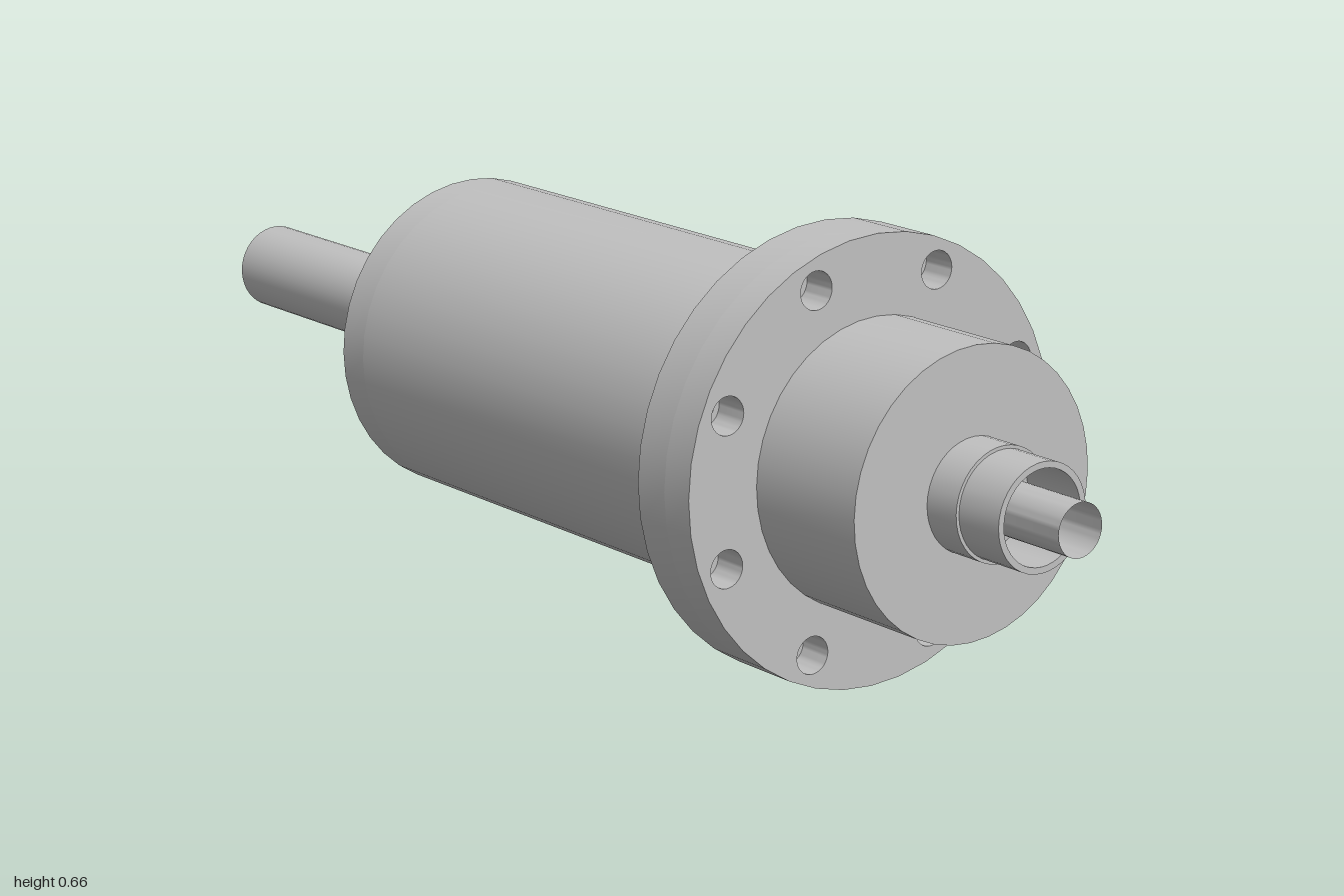
import * as THREE from 'three';
import { toCreasedNormals } from 'three/addons/utils/BufferGeometryUtils.js';

const AXIS_Y = 0.33;
const steel = new THREE.MeshStandardMaterial({ color: 0xc0c0c0, side: THREE.DoubleSide });
steel.name = 'steel grey';

export function createModel() {
  const model = new THREE.Group();
  model.name = 'spindle';
  const spindle = new THREE.Group();
  spindle.name = 'spindleAssembly';
  spindle.position.y = AXIS_Y;
  model.add(spindle);

  const add = (name, geometry, y = 0, z = 0) => {
    const mesh = new THREE.Mesh(toCreasedNormals(geometry, 0.6), steel);
    mesh.name = name;
    mesh.position.set(0, y, z);
    spindle.add(mesh);
  };

  // Disc along x from x0 to x1, pierced by holes given as [y, z, radius]
  const disc = (name, x0, x1, radius, holes) => {
    const shape = new THREE.Shape().absarc(0, 0, radius, 0, Math.PI * 2);
    for (const [y, z, r] of holes) {
      shape.holes.push(new THREE.Path().absarc(-z, y, r, 0, Math.PI * 2, true));
    }
    const g = new THREE.ExtrudeGeometry(shape, { depth: x1 - x0, bevelEnabled: false, curveSegments: 20 });
    add(name, g.rotateY(Math.PI / 2).translate(x0, 0, 0));
  };

  // Solid or hollow turned part along x; profile points are [radius, x]
  const turned = (name, profile, y = 0, z = 0) => {
    const points = profile.map(([r, x]) => new THREE.Vector2(r, x));
    add(name, new THREE.LatheGeometry(points, 40).rotateZ(-Math.PI / 2), y, z);
  };

  const holeRing = (count, ringRadius, r) => Array.from({ length: count }, (_, i) => {
    const a = ((i + 0.5) / count) * Math.PI * 2;
    return [Math.sin(a) * ringRadius, Math.cos(a) * ringRadius, r];
  });

  // Main housing with blind holes in its rear plate
  disc('rearPlate', -0.415, -0.36, 0.245, [...holeRing(4, 0.213, 0.017), [0.08, -0.2, 0.006]]);
  turned('housing', [[0, -0.36], [0.245, -0.36], [0.245, 0.46]]);

  // Mounting flange: through holes with wider counterbores at the front
  disc('flangeRear', 0.46, 0.52, 0.33, holeRing(8, 0.285, 0.019));
  disc('flangeFront', 0.52, 0.575, 0.33, holeRing(8, 0.285, 0.028));

  // Front collar, hollow nose and thin inner tube
  turned('collar', [[0.212, 0.575], [0.212, 0.785], [0, 0.785]]);
  turned('nose', [[0.0835, 0.785], [0.0835, 0.845], [0.0785, 0.845], [0.0785, 0.925],
    [0.069, 0.925], [0.069, 0.82], [0, 0.82]]);
  turned('innerTube', [[0.039, 0.82], [0.039, 1]]);

  // Rear shaft
  turned('rearShaft', [[0, -1], [0.068, -1], [0.068, -0.415]]);

  // Hose fittings with bores below the shaft: [x end, y, z, radius, bore]
  const fittings = [
    [-0.515, -0.188, 0.053, 0.0375, 0.019],
    [-0.515, -0.188, -0.053, 0.0375, 0.019],
    [-0.47, -0.115, 0, 0.03, 0.015],
  ];
  for (const [x, y, z, r, bore] of fittings) {
    turned('hoseFitting', [[0, -0.42], [bore, -0.42], [bore, x], [r, x], [r, -0.415]], y, z);
  }

  return model;
}
